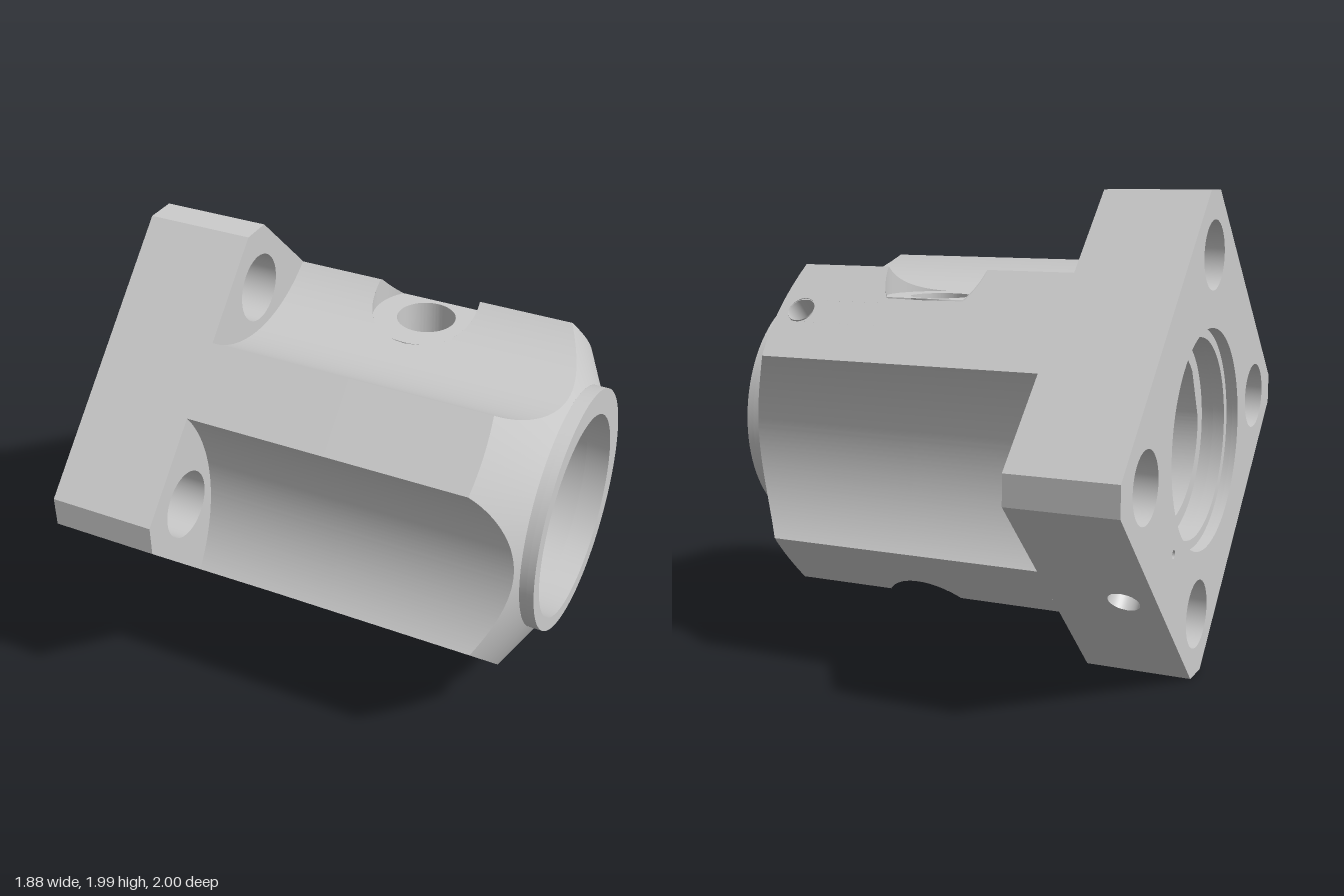
import * as THREE from 'three';
import { toCreasedNormals } from 'three/addons/utils/BufferGeometryUtils.js';

const MID = 0.995;                       // height of the main axis (runs along x)
const BORE = { z: 0.02, y: -0.018, r: 0.358 };
const HOLE = { x: 0.06, z: -0.29, r: 0.125, spot: 0.23, top: 0.56, bottom: -0.545, clip: -0.44 };
const SCALLOP = { r: 0.635, near: 0.065, far: 1.18 };
const RIM = { r: 0.518, x: 0.825, end: 0.885 };
const FLANGE = { x0: -1, x1: -0.545 };

const material = new THREE.MeshStandardMaterial({ color: 0xcccccc, side: THREE.DoubleSide });

// Cross-section points are [z, y] measured from the main axis.
const circle = (z, y, r, n = 96) => Array.from({ length: n }, (_, i) => {
  const a = (i / n) * Math.PI * 2;
  return [z + r * Math.cos(a), y + r * Math.sin(a)];
});

function subdivide(a, b, n) {
  return Array.from({ length: n }, (_, i) => [a[0] + (b[0] - a[0]) * i / n, a[1] + (b[1] - a[1]) * i / n]);
}

function add(group, name, geometry) {
  const mesh = new THREE.Mesh(geometry, material);
  mesh.name = name;
  group.add(mesh);
  return mesh;
}

// Closed band joining the two points [p, q] of each row to those of the next
function ribbon(rows) {
  const pos = [];
  rows.forEach(([p, q], i) => {
    const [p2, q2] = rows[(i + 1) % rows.length];
    pos.push(...p, ...p2, ...q2, ...p, ...q2, ...q);
  });
  const g = new THREE.BufferGeometry();
  g.setAttribute('position', new THREE.Float32BufferAttribute(pos, 3));
  return toCreasedNormals(g, 0.5);
}

// Wall swept along x, opened by round side holes { x, z, rx, rz, side, min }
function wall(group, name, points, x0, xEnd, cuts = []) {
  const left = [], right = [];
  for (const [z, y] of points) {
    const x1 = typeof xEnd === 'function' ? xEnd(z, y) : xEnd;
    const c = cuts.find(k => Math.abs(z - k.z) < k.rz && (!k.side || k.side * y > 0) && z > (k.min ?? -9));
    const w = c ? c.rx * Math.sqrt(1 - ((z - c.z) / c.rz) ** 2) : 0;
    const m = c ? c.x : (cuts[0]?.x ?? (x0 + x1) / 2);
    left.push([[x0, y, z], [m - w, y, z]]);
    right.push([[m + w, y, z], [x1, y, z]]);
  }
  add(group, name, ribbon(left));
  add(group, name, ribbon(right));
}

// Flat face across the axis at x
function plate(group, name, outline, holes, x) {
  const vec = pts => pts.map(([z, y]) => new THREE.Vector2(-z, y));
  const shape = new THREE.Shape(vec(outline));
  holes.forEach(h => shape.holes.push(new THREE.Path(vec(h))));
  add(group, name, new THREE.ShapeGeometry(shape).rotateY(Math.PI / 2)).position.x = x;
}

// Open tube from a point along a direction
function tube(group, name, start, dir, length, r0, r1 = r0) {
  const d = new THREE.Vector3(...dir).normalize();
  const mesh = add(group, name, new THREE.CylinderGeometry(r1, r0, length, 40, 1, true));
  mesh.quaternion.setFromUnitVectors(new THREE.Vector3(0, 1, 0), d);
  mesh.position.set(...start).addScaledVector(d, length / 2);
}

// Body section: four flats joined by concave scallops around the bolts
function bodyProfile() {
  const { r, near, far } = SCALLOP;
  const centres = [[near, far, -90], [far, near, 180], [-near, -far, 90], [-far, -near, 0]];
  const half = Math.asin(0.385 / r);
  const arcs = centres.map(([z, y, deg]) => Array.from({ length: 121 }, (_, i) => {
    const a = deg * Math.PI / 180 + half * (i / 60 - 1);
    return [z + r * Math.cos(a), y + r * Math.sin(a)];
  }));
  return arcs.flatMap((arc, i) => [...arc, ...subdivide(arc[120], arcs[(i + 1) % 4][0], 160).slice(1)]);
}

function flangeProfile() {
  const c = [[0.13, MID], [1, 0.125], [1, 0], [0, -MID], [-0.13, -MID], [-1, -0.125], [-1, 0], [0, MID]];
  return c.flatMap((p, i) => subdivide(p, c[(i + 1) % 8], i % 2 ? 4 : 160));
}

// Heights of the body's upper and lower skin at z
const scallopY = z => SCALLOP.far - Math.sqrt(SCALLOP.r ** 2 - (z - SCALLOP.near) ** 2);
const topY = z => Math.min(z + 1, scallopY(z));
const bottomY = z => Math.max(-1.125 - z, -scallopY(-z));

// Spot face around the cross hole: flat floor and short round wall
function spotFace(group, level, skin, clip) {
  const ring = circle(HOLE.x, HOLE.z, HOLE.spot).map(([x, z]) => [x, Math.max(z, clip)]);
  const shape = new THREE.Shape(ring.map(([x, z]) => new THREE.Vector2(x, -z)));
  shape.holes.push(new THREE.Path(circle(HOLE.x, -HOLE.z, HOLE.r).map(p => new THREE.Vector2(...p))));
  add(group, 'spotFaceFloor', new THREE.ShapeGeometry(shape).rotateX(-Math.PI / 2)).position.y = level;
  add(group, 'spotFaceWall', ribbon(ring.map(([x, z]) => [[x, level, z], [x, skin(z), z]])));
}

export function createModel() {
  const model = new THREE.Group();
  const part = name => {
    const g = new THREE.Group();
    g.name = name;
    g.position.y = MID;
    model.add(g);
    return g;
  };

  // Flange with bolt holes and a stepped side port
  const flange = part('flange');
  const outline = flangeProfile();
  const bolts = [[0.065, 0.735], [0.735, 0.065], [-0.065, -0.735], [-0.735, -0.065]];
  const boltHoles = bolts.map(([z, y]) => circle(z, y, 0.143, 48));
  const recess = circle(BORE.z, BORE.y, 0.46);
  const port = { x: -0.86, z: -0.5625, rx: 0.065, rz: 0.046, side: -1 };
  wall(flange, 'flangeSides', outline, FLANGE.x0, FLANGE.x1, [port]);
  plate(flange, 'flangeBack', outline, [...boltHoles, recess, circle(-0.39, -0.4, 0.018, 20)], FLANGE.x0);
  plate(flange, 'flangeFront', outline, [...boltHoles, recess], FLANGE.x1);
  boltHoles.forEach(h => wall(flange, 'boltHole', h, FLANGE.x0, FLANGE.x1));
  tube(flange, 'ventHole', [-1, -0.4, -0.39], [1, 0, 0], 0.14, 0.018);
  const inward = [0, 1, 1], s = Math.SQRT1_2;
  const deep = d => [port.x, port.z + d * s, port.z + d * s];
  tube(flange, 'portMouth', deep(0), inward, 0.08, 0.065);
  tube(flange, 'portSeat', deep(0.08), inward, 0.01, 0.065, 0.03);
  tube(flange, 'portDrill', deep(0.09), inward, 0.25, 0.03);

  // Scalloped body with a conical nose
  const body = part('body');
  const section = bodyProfile();
  const noseX = (z, y) => RIM.x - (Math.hypot(z, y) - RIM.r) / 1.73;
  const spot = { x: HOLE.x, z: HOLE.z, rx: HOLE.spot, rz: HOLE.spot };
  wall(body, 'bodySides', section, FLANGE.x1, noseX, [
    { ...spot, side: 1, min: HOLE.clip },
    { ...spot, side: -1 },
    { x: 0.61, z: -0.5, rx: 0.06, rz: 0.0424, side: 1 },
  ]);
  add(body, 'noseCone', ribbon(section.map(([z, y]) => {
    const k = RIM.r / Math.hypot(z, y);
    return [[noseX(z, y), y, z], [RIM.x, y * k, z * k]];
  })));
  tube(body, 'sideDrill', [0.61, 0.5, -0.5], [0, -1, 1], 0.35, 0.06);

  // Rim at the open end
  const rim = part('rim');
  const mouth = circle(BORE.z, BORE.y, 0.435);
  wall(rim, 'rimOutside', circle(0, 0, RIM.r), RIM.x, RIM.end);
  plate(rim, 'rimFace', circle(0, 0, RIM.r), [mouth], RIM.end);

  // Stepped eccentric bore
  const bore = part('bore');
  const inner = circle(BORE.z, BORE.y, BORE.r, 360);
  const step = circle(BORE.z, BORE.y, 0.42);
  wall(bore, 'backRecess', recess, -1, -0.95);
  plate(bore, 'backShoulder', recess, [step], -0.95);
  wall(bore, 'backStep', step, -0.95, -0.85);
  plate(bore, 'innerBackShoulder', step, [inner], -0.85);
  wall(bore, 'boreWall', inner, -0.85, 0.68, [{ x: HOLE.x, z: HOLE.z, rx: HOLE.r, rz: HOLE.r }]);
  plate(bore, 'frontShoulder', mouth, [inner], 0.68);
  wall(bore, 'frontStep', mouth, 0.68, RIM.end);

  // Upright cross hole, open where it meets the bore
  const cross = part('crossHole');
  const upper = [], lower = [];
  for (const [x, z] of circle(HOLE.x, HOLE.z, HOLE.r, 120)) {
    const h = Math.sqrt(Math.max(0, BORE.r ** 2 - (z - BORE.z) ** 2));
    upper.push([[x, BORE.y + h, z], [x, HOLE.top, z]]);
    lower.push([[x, HOLE.bottom, z], [x, BORE.y - h, z]]);
  }
  add(cross, 'upperCrossHole', ribbon(upper));
  add(cross, 'lowerCrossHole', ribbon(lower));
  spotFace(cross, HOLE.top, topY, HOLE.clip);
  spotFace(cross, HOLE.bottom, bottomY, -9);

  return model;
}
